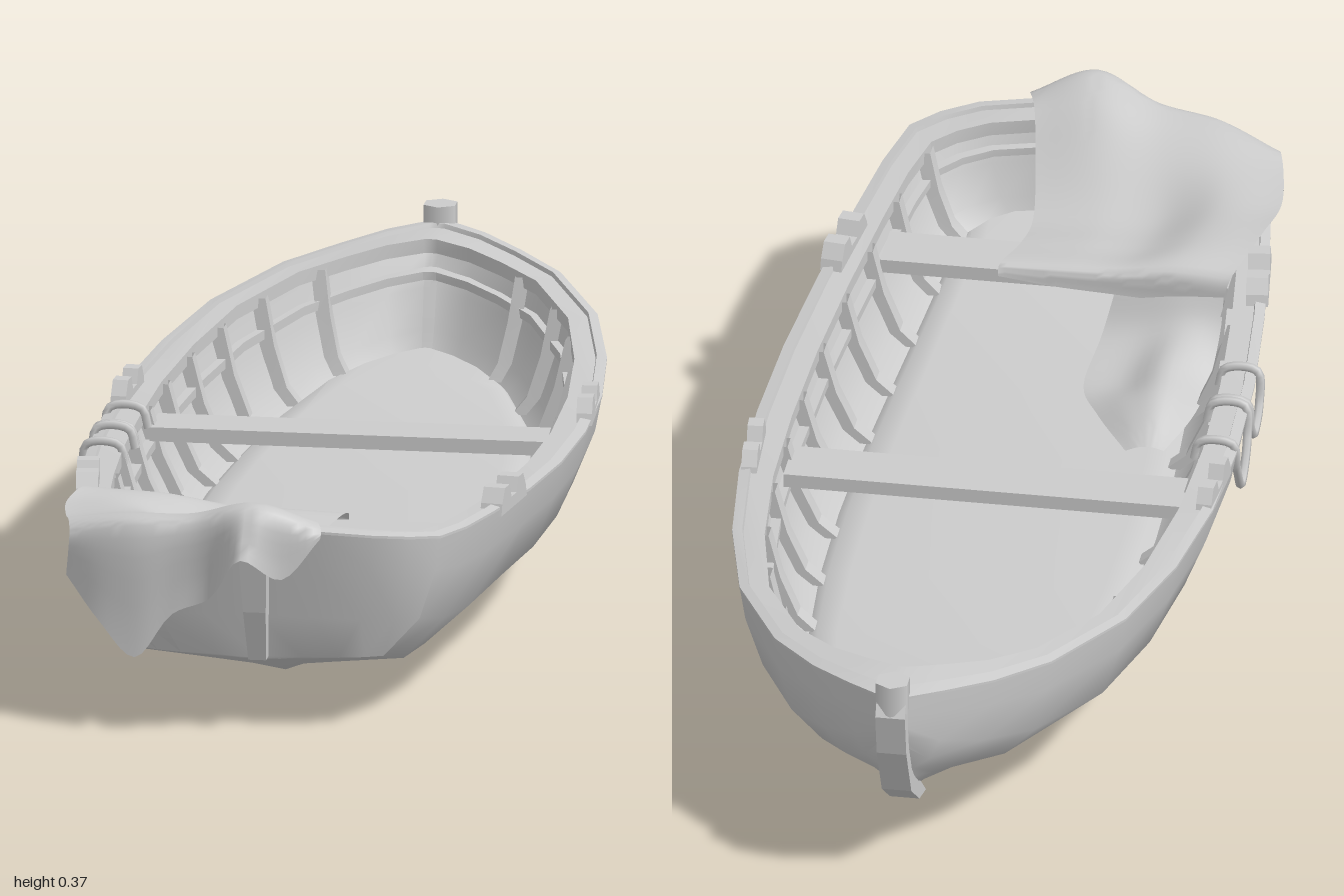
import * as THREE from 'three';
import { toCreasedNormals } from 'three/addons/utils/BufferGeometryUtils.js';

const material = new THREE.MeshStandardMaterial({ color: 0xcccccc, side: THREE.DoubleSide });
const lerp = THREE.MathUtils.lerp;
const V = (x, y, z) => new THREE.Vector3(x, y, z);

// Hull stations from bow to stern: z, half width, gunwale height, keel height
const STATIONS = [
  [-0.975, 0.012, 0.345, 0.25], [-0.93, 0.075, 0.34, 0.165], [-0.87, 0.14, 0.33, 0.12],
  [-0.78, 0.215, 0.32, 0.08], [-0.6, 0.3, 0.302, 0.04], [-0.4, 0.345, 0.286, 0.018],
  [-0.2, 0.368, 0.276, 0.008], [0, 0.373, 0.27, 0.004], [0.2, 0.366, 0.272, 0.005],
  [0.4, 0.348, 0.28, 0.012], [0.6, 0.323, 0.293, 0.03], [0.74, 0.302, 0.303, 0.07], [0.84, 0.277, 0.312, 0.115],
];
// Half sections, keel to gunwale, as fractions of width and height
const MID = [[0, 0], [0.1, 0.075], [0.33, 0.19], [0.66, 0.295], [0.88, 0.49], [0.97, 0.79], [1, 1]];
const STERN = [[0, 0], [0.1, 0], [0.33, 0], [0.68, 0.02], [0.88, 0.33], [0.97, 0.72], [1, 1]];

function station(z) {
  let i = 1;
  while (i < STATIONS.length - 1 && STATIONS[i][0] < z) i++;
  const a = STATIONS[i - 1], b = STATIONS[i], t = (z - a[0]) / (b[0] - a[0]);
  return a.map((v, k) => lerp(v, b[k], t));
}

function halfSection([z, w, top, keel]) {
  const b = THREE.MathUtils.clamp((z - 0.45) / 0.39, 0, 1);
  return MID.map(([fx, fy], i) =>
    V(w * lerp(fx, STERN[i][0], b), lerp(keel, top, lerp(fy, STERN[i][1], b)), z));
}

// Skin through rows of points
function skin(rows, crease = 0.6) {
  const n = rows[0].length, index = [];
  for (let i = 0; i < rows.length - 1; i++) {
    for (let j = 0; j < n - 1; j++) {
      const a = i * n + j, b = a + 1, c = a + n, d = c + 1;
      index.push(a, c, b, b, c, d);
    }
  }
  const geo = new THREE.BufferGeometry().setFromPoints(rows.flat());
  geo.setIndex(index);
  return toCreasedNormals(geo, crease);
}

// Plate outlined in the z-y plane, extruded along x and centred
function plate(points, width) {
  const shape = new THREE.Shape(points.map(([z, y]) => new THREE.Vector2(-z, y)));
  const geo = new THREE.ExtrudeGeometry(shape, { depth: width, bevelEnabled: false });
  return geo.translate(0, 0, -width / 2).rotateY(Math.PI / 2);
}

// Smooth cloth from rows of [left x, right x, heights, depths]
function cloth(rows, nu, nv) {
  const curves = rows.map(([xl, xr, ys, zs]) => new THREE.CatmullRomCurve3(
    ys.map((y, i) => V(lerp(xl, xr, i / (ys.length - 1)), y, Array.isArray(zs) ? zs[i] : zs))));
  const columns = [];
  for (let i = 0; i <= nu; i++) {
    const across = new THREE.CatmullRomCurve3(curves.map((c) => c.getPoint(i / nu)));
    columns.push(across.getPoints(nv));
  }
  return skin(columns, 1.2);
}

export function createModel() {
  const model = new THREE.Group();
  const add = (name, geo, x = 0, y = 0, z = 0) => {
    const mesh = new THREE.Mesh(geo, material);
    mesh.name = name;
    mesh.position.set(x, y, z);
    model.add(mesh);
    return mesh;
  };
  const mirror = (p) => V(-p.x, p.y, p.z);

  // Outer hull, gunwale to gunwale
  add('hull', skin(STATIONS.map((s) => {
    const half = halfSection(s);
    return [...half.slice(1).reverse().map(mirror), ...half];
  }), 1));

  // Bulging transom, its top edge arched
  const [sternZ, sternW, sternTop] = STATIONS.at(-1);
  const steps = [-1, -0.85, -0.65, -0.35, 0, 0.35, 0.65, 0.85, 1];
  const transomPoint = (p, fy, s) =>
    V(p.x * s, p.y + 0.022 * fy * (1 - s * s), sternZ + 0.08 * (1 - s ** 4) * lerp(0.35, 1, fy));
  add('transom', skin(halfSection(STATIONS.at(-1)).map((p, i) =>
    steps.map((s) => transomPoint(p, STERN[i][1], s))), 0.9));

  // Closed gunwale outline, inset to make rail, lining and floor; the ends are drawn in most
  const side = STATIONS.map(([z, w, top]) => V(w, top, z));
  const stern = steps.slice(1, -1).reverse().map((s) => transomPoint(V(sternW, sternTop, sternZ), 1, s));
  const tip = V(0, 0.345, -0.978);
  const outline = [tip, ...side, ...stern, ...side.map(mirror).reverse(), tip];
  const floorY = (z) => 0.1 + 0.08 * Math.abs(z / 0.85) ** 4;
  const inset = (p, sx, sz, drop, down = 0) => {
    const pull = (1 - sz) * Math.abs(p.z / 0.978) ** 3;
    const z = p.z * (1 - pull * (p.z < 0 ? 1 : 0.7));
    return V(p.x * sx, lerp(p.y, floorY(z), down) - drop, z);
  };
  const loop = (...a) => outline.map((p) => inset(p, ...a));

  add('gunwale', skin([
    loop(1, 1, 0.004), loop(1, 1, 0), loop(0.955, 0.965, -0.003),
    loop(0.95, 0.962, 0.004), loop(0.855, 0.89, 0.004), loop(0.855, 0.89, 0.026), loop(0.885, 0.915, 0.026),
  ], 0.5));
  add('innerLining', skin([
    loop(0.885, 0.915, 0.026), loop(0.83, 0.885, 0, 0.5), loop(0.75, 0.865, 0, 0.85), loop(0.66, 0.85, 0, 1),
  ]));
  add('floor', skin([
    loop(0.66, 0.85, 0, 1), loop(0.62, 0.84, -0.012, 1), loop(0.53, 0.78, -0.014, 1), loop(0, 0.78, -0.014, 1),
  ], 0.9));
  add('stringer', skin([
    loop(0.87, 0.905, 0, 0.33), loop(0.815, 0.88, 0, 0.33), loop(0.815, 0.88, 0, 0.41), loop(0.85, 0.895, 0, 0.41),
  ], 0.4));

  // Ribs running up both sides of the lining
  const ribProfile = [[0.65, 0.85, 1], [0.735, 0.865, 0.85], [0.812, 0.885, 0.5], [0.865, 0.91, 0.1]];
  for (let z = -0.82; z < 0.85; z += 0.149) {
    const [, w, top] = station(Math.min(z, 0.83));
    const path = ribProfile.map(([sx, sz, down]) => inset(V(w, top, z), sx, sz, 0, down));
    for (const sign of [1, -1]) {
      const strip = [[0.012, -0.014], [-0.01, -0.014], [-0.01, 0.014], [0.012, 0.014]]
        .map(([dx, dz]) => path.map((p) => V(sign * (p.x + dx), p.y + 0.006, p.z + dz)));
      add('rib', skin(strip, 0.4));
    }
  }

  // Thwarts
  add('middleThwart', new THREE.BoxGeometry(0.62, 0.022, 0.09), 0, 0.228, -0.09);
  add('sternThwart', new THREE.BoxGeometry(0.54, 0.022, 0.09), 0, 0.24, 0.57);

  // Stem post with a faceted head, and stern post tapering towards its foot
  add('stemPost', plate([[-0.95, 0.34], [-0.985, 0.34], [-0.996, 0.32], [-0.982, 0.25],
    [-0.935, 0.16], [-0.86, 0.105], [-0.8, 0.088], [-0.86, 0.14], [-0.92, 0.2], [-0.945, 0.3]], 0.046));
  add('stemHead', new THREE.CylinderGeometry(0.028, 0.028, 0.05, 6), 0, 0.348, -0.97);
  const sternPost = plate([[0.89, 0.36], [0.945, 0.36], [0.942, 0.3], [0.92, 0.2], [0.892, 0.118], [0.85, 0.118]], 0.05);
  const pos = sternPost.attributes.position;
  for (let i = 0; i < pos.count; i++) pos.setX(i, pos.getX(i) * lerp(0.55, 1, (pos.getY(i) - 0.118) / 0.242));
  sternPost.computeVertexNormals();
  add('sternPost', sternPost);

  // Notched rowlock blocks
  const notch = [[-0.07, -0.01], [-0.065, 0.008], [-0.05, 0.03], [-0.025, 0.03], [-0.014, 0.008],
    [0.014, 0.008], [0.025, 0.03], [0.05, 0.03], [0.065, 0.008], [0.07, -0.01]];
  for (const sign of [1, -1]) {
    for (const [x, y, z, tilt, width] of [[0.357, 0.273, -0.13, 0.06, 0.024], [0.322, 0.287, 0.5, -0.13, 0.034]]) {
      add('rowlock', plate(notch, width), sign * x, y, z).rotation.y = sign * tilt;
    }
  }

  // Rope looped over the right gunwale
  for (const [z, span, low] of [[0, 0.12, 0.178], [0.13, 0.1, 0.2]]) {
    const path = [[-0.305, 0.25, 0], [-0.315, 0.28, 0], [-0.365, 0.28, 0], [-0.37, 0.23, 0.1], [-0.369, low, 0.5],
      [-0.37, 0.23, 0.9], [-0.365, 0.28, 1], [-0.315, 0.28, 1], [-0.305, 0.25, 1]]
      .map(([x, y, t]) => V(x, y, z + t * span));
    add('rope', new THREE.TubeGeometry(new THREE.CatmullRomCurve3(path), 40, 0.007, 6));
  }

  // Canvas thrown over the stern, with a fold spilling onto the floor
  add('canvas', cloth([
    [-0.26, 0.085, [0.22, 0.225, 0.23, 0.235, 0.245], 0.515],
    [-0.275, 0.085, [0.27, 0.275, 0.265, 0.262, 0.26], 0.52],
    [-0.31, 0.065, [0.308, 0.297, 0.265, 0.262, 0.257], 0.6],
    [-0.325, 0.06, [0.308, 0.306, 0.268, 0.262, 0.25], 0.69],
    [-0.31, 0.075, [0.312, 0.322, 0.315, 0.315, 0.29], 0.8],
    [-0.3, 0.09, [0.315, 0.335, 0.342, 0.366, 0.338], [0.84, 0.87, 0.88, 0.89, 0.88]],
    [-0.295, 0.105, [0.3, 0.326, 0.337, 0.37, 0.335], [0.865, 0.905, 0.925, 0.955, 0.93]],
    [-0.3, 0.105, [0.235, 0.175, 0.125, 0.195, 0.222, 0.3, 0.262, 0.325],
      [0.865, 0.91, 0.93, 0.93, 0.935, 0.995, 0.955, 0.94]],
  ], 35, 42));
  add('canvasFold', cloth([
    [-0.265, -0.1, [0.26, 0.255, 0.255, 0.25], 0.525],
    [-0.265, -0.08, [0.2, 0.2, 0.18, 0.17], 0.49],
    [-0.26, -0.065, [0.15, 0.175, 0.14, 0.125], 0.41],
    [-0.25, -0.1, [0.135, 0.165, 0.15, 0.122], 0.33],
    [-0.22, -0.16, [0.125, 0.13, 0.128, 0.12], 0.23],
  ], 14, 22));

  return model;
}
